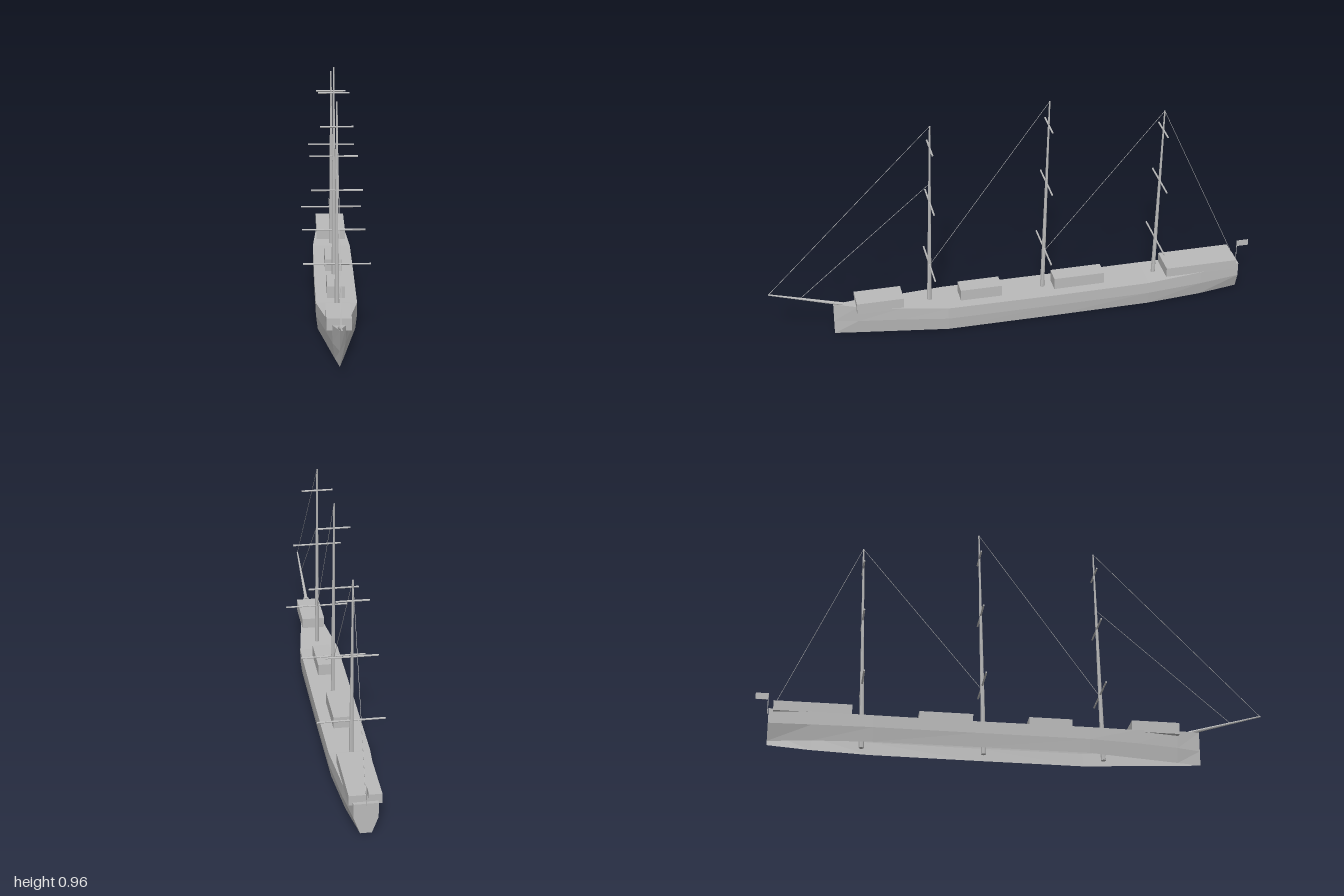
import * as THREE from 'three';

const grey = new THREE.MeshStandardMaterial({ color: 0xbababa, side: THREE.DoubleSide, flatShading: true });
grey.name = 'pale grey';

export function createModel() {
  const ship = new THREE.Group();
  ship.name = 'sailingShip';

  const add = (name, geometry, parent = ship) => {
    const mesh = new THREE.Mesh(geometry, grey);
    mesh.name = name;
    parent.add(mesh);
    return mesh;
  };

  // box given by its width and its y and z limits
  const box = (name, width, y0, y1, z0, z1, x = 0) =>
    add(name, new THREE.BoxGeometry(width, y1 - y0, z1 - z0)).position.set(x, (y0 + y1) / 2, (z0 + z1) / 2);

  // tapered round bar between two points
  const bar = (name, a, b, ra, rb = ra, sides = 8, parent = ship) => {
    const from = new THREE.Vector3(...a), to = new THREE.Vector3(...b);
    const dir = to.clone().sub(from);
    const mesh = add(name, new THREE.CylinderGeometry(rb, ra, dir.length(), sides), parent);
    mesh.position.copy(from).add(to).multiplyScalar(0.5);
    mesh.quaternion.setFromUnitVectors(new THREE.Vector3(0, 1, 0), dir.normalize());
  };

  // hull stations: z, deck height, half widths at deck, knuckle and bottom, knuckle height
  const stations = [
    [0.745, 0.14, 0, 0, 0, 0.06],
    [0.65, 0.13, 0.027, 0.024, 0.016, 0.06],
    [0.48, 0.115, 0.052, 0.051, 0.043, 0.06],
    [0.29, 0.105, 0.08, 0.08, 0.073, 0.055],
    [-0.15, 0.103, 0.081, 0.081, 0.073, 0.055],
    [-0.55, 0.105, 0.08, 0.08, 0.07, 0.056],
    [-0.78, 0.114, 0.064, 0.064, 0.05, 0.06],
    [-0.947, 0.125, 0.046, 0.046, 0.022, 0.065],
  ];
  // each ring runs from the left bottom edge over the deck to the right bottom edge
  const rings = stations.map(([z, yTop, top, knuckle, bottom, yKnuckle]) => [
    [bottom, 0, z], [knuckle, yKnuckle, z], [top, yTop, z],
    [-top, yTop, z], [-knuckle, yKnuckle, z], [-bottom, 0, z],
  ]);
  const pos = [];
  const quad = (a, b, c, d) => pos.push(...a, ...b, ...c, ...a, ...c, ...d);
  for (let i = 0; i < rings.length - 1; i++) {
    for (let k = 0; k < 5; k++) quad(rings[i][k], rings[i + 1][k], rings[i + 1][k + 1], rings[i][k + 1]);
  }
  // transom
  const s = rings[rings.length - 1];
  quad(s[0], s[5], s[4], s[1]);
  quad(s[1], s[4], s[3], s[2]);
  const hull = new THREE.BufferGeometry();
  hull.setAttribute('position', new THREE.Float32BufferAttribute(pos, 3));
  hull.computeVertexNormals();
  add('hull', hull);

  // deck houses
  box('foreDeckHouse', 0.094, 0.11, 0.157, 0.465, 0.655);
  box('frontCabin', 0.07, 0.1, 0.152, 0.06, 0.23);
  box('middleCabin', 0.07, 0.1, 0.152, -0.37, -0.16);
  box('sternDeckHouse', 0.124, 0.112, 0.152, -0.93, -0.63);

  // masts, each with three yards
  const masts = [
    { name: 'foremast', foot: 0.357, top: 0.333, height: 0.905, yards: [0.278, 0.566, 0.81] },
    { name: 'mainmast', foot: -0.114, top: -0.14, height: 0.957, yards: [0.289, 0.594, 0.853] },
    { name: 'mizzenmast', foot: -0.587, top: -0.608, height: 0.86, yards: [0.268, 0.543, 0.775] },
  ];
  const onMast = (m, y) => [0, y, m.foot + (m.top - m.foot) * y / m.height];
  const halfSpans = [0.13, 0.099, 0.063];
  for (const m of masts) {
    const rig = new THREE.Group();
    rig.name = m.name + 'Rig';
    ship.add(rig);
    bar(m.name, onMast(m, 0), onMast(m, m.height), 0.01, 0.003, 8, rig);
    m.yards.forEach((y, i) => {
      const z = onMast(m, y)[2], h = halfSpans[i];
      bar('yard', [-h, y, z], [h, y, z], 0.0037, 0.0037, 8, rig);
    });
  }

  // bowsprit and stays
  bar('bowsprit', [0, 0.135, 0.7], [0, 0.224, 1], 0.007, 0.003);
  const [fore, main, mizzen] = masts;
  const stays = [
    [[0, 0.224, 0.998], onMast(fore, fore.height)],
    [[0, 0.187, 0.875], onMast(fore, 0.65)],
    [onMast(fore, 0.27), onMast(main, main.height)],
    [onMast(main, 0.27), onMast(mizzen, mizzen.height)],
    [[0, 0.15, -0.93], onMast(mizzen, mizzen.height)],
  ];
  for (const [a, b] of stays) bar('stay', a, b, 0.001, 0.001, 5);

  // flag at the stern
  bar('flagpole', [0, 0.12, -0.951], [0, 0.207, -0.951], 0.0015, 0.0015, 6);
  box('flag', 0.002, 0.18, 0.206, -1, -0.951);

  return ship;
}
